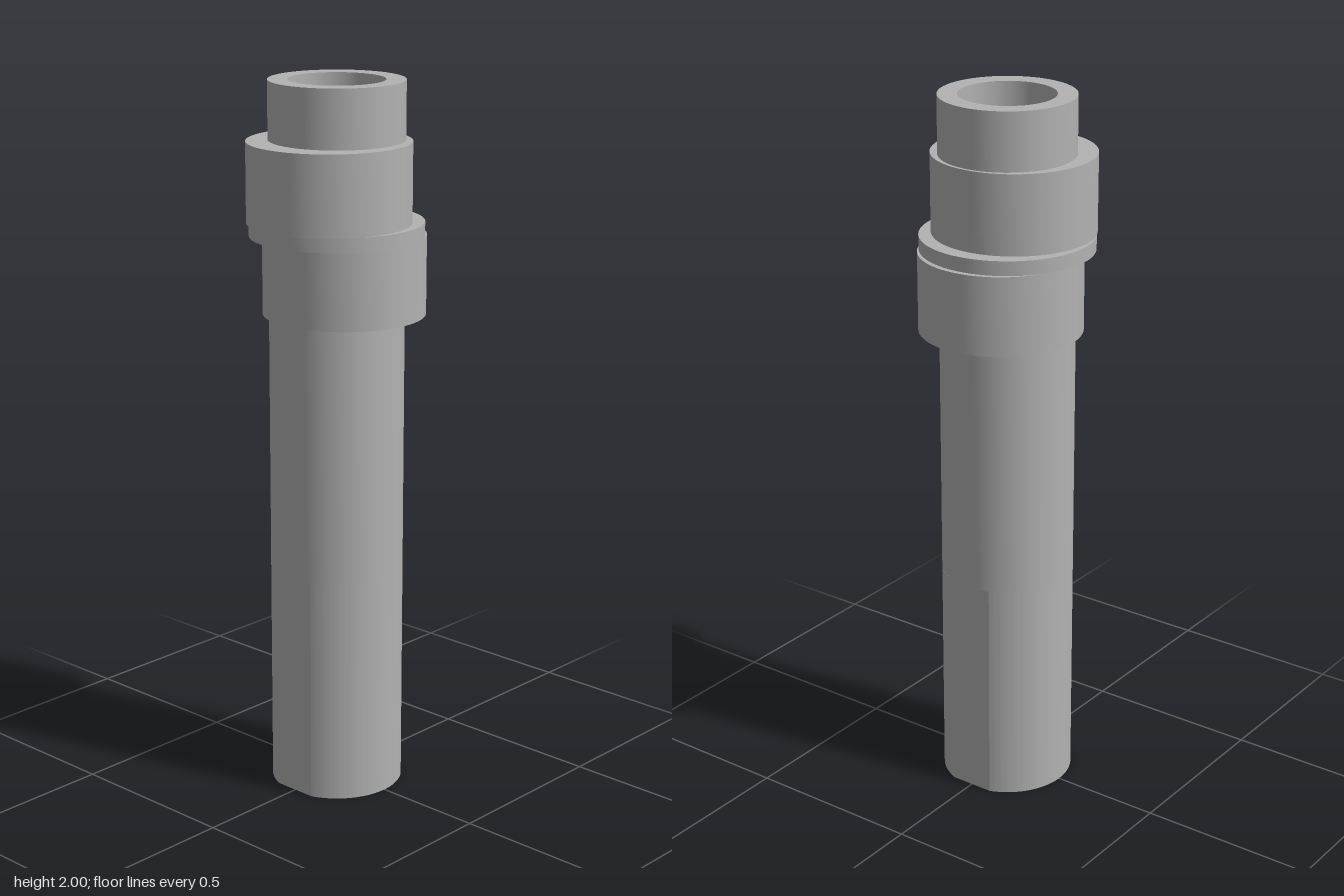
import * as THREE from 'three';
import { toCreasedNormals } from 'three/addons/utils/BufferGeometryUtils.js';

const SHAFT_R = 0.185;

export function createModel() {
  const group = new THREE.Group();
  const grey = new THREE.MeshStandardMaterial({ color: 0xb2b2b2 });

  // Upright hollow section: outline with a round bore, raised from y0 to y1
  function section(name, outline, bore, y0, y1) {
    outline.holes.push(new THREE.Path().absarc(0, 0, bore, 0, Math.PI * 2, true));
    const geo = new THREE.ExtrudeGeometry(outline, {
      depth: y1 - y0, bevelEnabled: false, curveSegments: 48,
    });
    geo.rotateX(-Math.PI / 2);
    geo.translate(0, y0, 0);
    const mesh = new THREE.Mesh(toCreasedNormals(geo, 0.15), grey);
    mesh.name = name;
    group.add(mesh);
  }

  const disc = (r, x = 0) => new THREE.Shape().absarc(x, 0, r, 0, Math.PI * 2, false);

  // Circle cut by two parallel flats at x = +-flatX
  function flattedDisc(r, flatX) {
    const a = Math.acos(flatX / r);
    const shape = new THREE.Shape();
    shape.absarc(0, 0, r, a, Math.PI - a, false);
    shape.absarc(0, 0, r, Math.PI + a, Math.PI * 2 - a, false);
    shape.closePath();
    return shape;
  }

  // Hollow shaft: wide bore at both ends, narrower in the middle
  section('flattedShaftEnd', flattedDisc(SHAFT_R, 0.174), 0.131, 0, 0.64);
  section('shaftMiddle', disc(SHAFT_R), 0.113, 0.64, 1.36);
  section('shaftTop', disc(SHAFT_R), 0.131, 1.36, 2);

  // Two opposed eccentric collars with a centred flange between them
  section('lowerEccentric', disc(0.2235, 0.03), 0.18, 1.36, 1.58);
  section('centreFlange', disc(0.238), 0.18, 1.58, 1.62);
  section('upperEccentric', disc(0.2235, -0.03), 0.18, 1.62, 1.84);

  return group;
}
